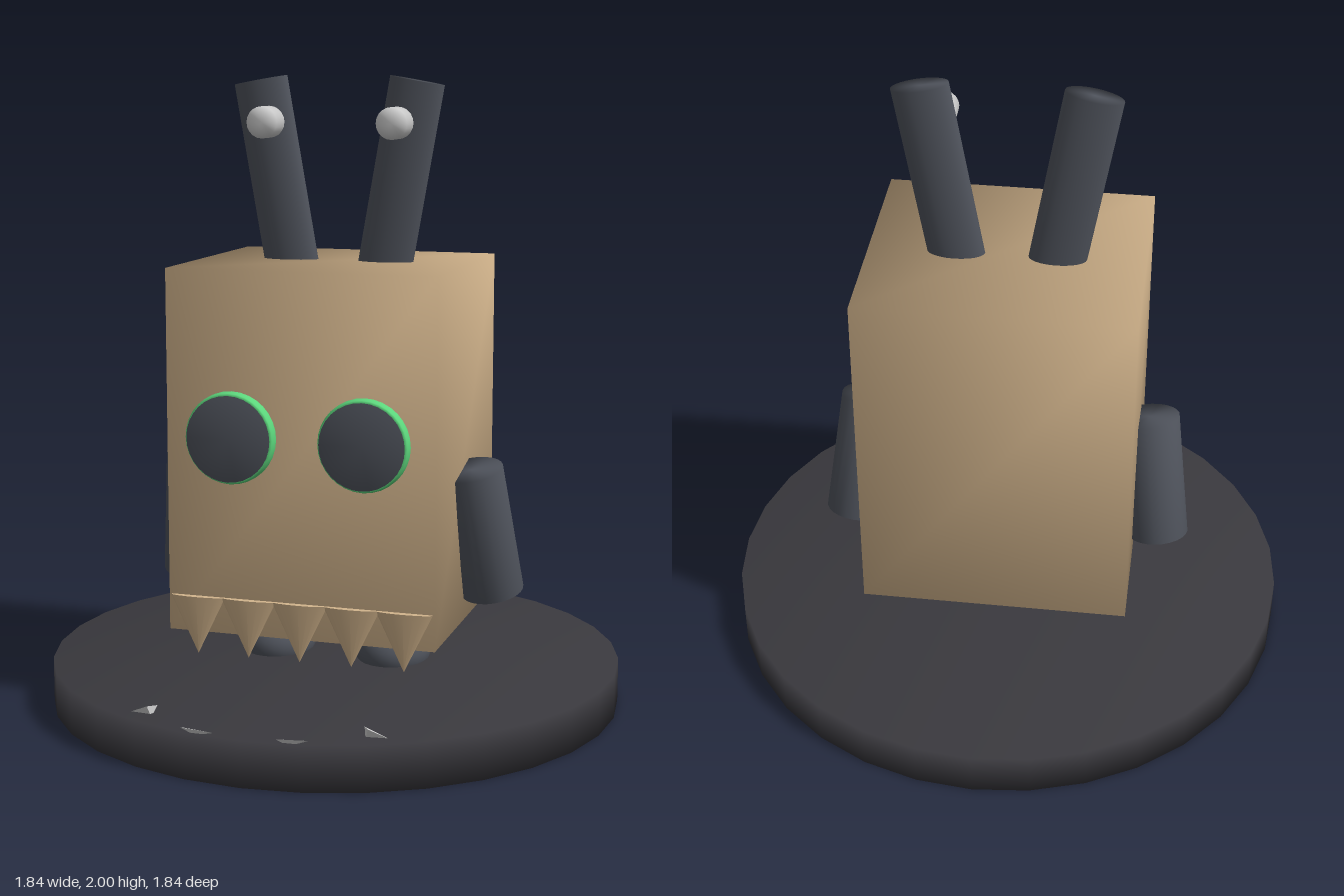
import * as THREE from 'three';
import { mergeVertices } from 'three/addons/utils/BufferGeometryUtils.js';
import { ConvexGeometry } from 'three/addons/geometries/ConvexGeometry.js';

const mat = (color) => new THREE.MeshStandardMaterial({ color });
const tan = mat(0xd2b48c), slate = mat(0x50545d), dark = mat(0x3a393e);
const green = mat(0x5cd67c), pale = mat(0xcccccc);

// Weld all corners so the shading flows over the edges
function soft(geometry) {
  geometry.deleteAttribute('normal');
  geometry.deleteAttribute('uv');
  const welded = mergeVertices(geometry, 1e-4);
  welded.computeVertexNormals();
  return welded;
}

export function createModel() {
  const model = new THREE.Group();
  const add = (name, geometry, material, x = 0, y = 0, z = 0) => {
    const mesh = new THREE.Mesh(geometry, material);
    mesh.name = name;
    mesh.position.set(x, y, z);
    model.add(mesh);
    return mesh;
  };

  // Cylinder running between two points
  const limb = (name, from, to, radius, flatten, material) => {
    const a = new THREE.Vector3(...from), b = new THREE.Vector3(...to);
    const geometry = soft(new THREE.CylinderGeometry(radius, radius, a.distanceTo(b), 24).scale(1, 1, flatten));
    const mesh = add(name, geometry, material);
    mesh.position.copy(a).add(b).multiplyScalar(0.5);
    mesh.quaternion.setFromUnitVectors(new THREE.Vector3(0, 1, 0), b.sub(a).normalize());
  };

  // Round base and box body
  add('base', soft(new THREE.CylinderGeometry(0.918, 0.918, 0.14, 32)), dark, 0, 0.07, 0);
  add('body', soft(new THREE.BoxGeometry(0.86, 1.14, 0.75)), tan, 0, 0.85, 0);

  // Eye rim profile with rounded outer edges
  const rim = [[0, 0], [0.13, 0], [0.14, 0.008], [0.143, 0.018], [0.143, 0.038], [0.14, 0.047], [0.134, 0.054], [0, 0.054]]
    .map(([r, h]) => new THREE.Vector2(r, h));

  for (const [side, s] of [['left', 1], ['right', -1]]) {
    // Flattened ears with a stud in front of each
    limb(side + 'Ear', [s * 0.145, 1.35, -0.025], [s * 0.257, 1.985, -0.025], 0.089, 0.5, slate);
    add(side + 'Stud', soft(new THREE.CylinderGeometry(0.05, 0.05, 0.075, 20).rotateX(Math.PI / 2)), pale, s * 0.21, 1.855, 0.0675);

    // Arms leaning outward and back
    limb(side + 'Arm', [s * 0.46, 0.78, 0.048], [s * 0.512, 0.372, -0.045], 0.1, 1, slate);

    // Eyes
    add(side + 'EyeRim', new THREE.LatheGeometry(rim, 32).rotateX(Math.PI / 2), green, s * 0.212, 0.908, 0.372);
    add(side + 'Pupil', soft(new THREE.CylinderGeometry(0.134, 0.134, 0.02, 32).rotateX(Math.PI / 2)), slate, s * 0.212, 0.908, 0.419);

    // Feet
    add(side + 'Foot', new THREE.SphereGeometry(1, 24, 16).scale(0.12, 0.1, 0.145), slate, s * 0.196, 0.165, 0);

    // Shards poking out of the base
    const shards = {
      OuterShard: [[0.4, 0.138, 0.77], [0.32, 0.16, 0.75], [0.34, 0.165, 0.785], [0.33, 0.13, 0.775]],
      InnerShard: [[0.095, 0.138, 0.873], [0.19, 0.145, 0.872], [0.1, 0.15, 0.9], [0.19, 0.155, 0.9], [0.14, 0.13, 0.89]],
    };
    for (const [name, points] of Object.entries(shards)) {
      add(side + name, new ConvexGeometry(points.map(([x, y, z]) => new THREE.Vector3(s * x, y, z))), pale);
    }
  }

  // Row of flattened pointed teeth along the lower front edge
  for (let i = -2; i <= 2; i++) {
    const tooth = new THREE.ConeGeometry(0.09, 0.185, 16).rotateX(Math.PI).scale(1, 1, 0.2);
    add('tooth', tooth, tan, i * 0.167, 0.302, 0.378);
  }

  return model;
}
